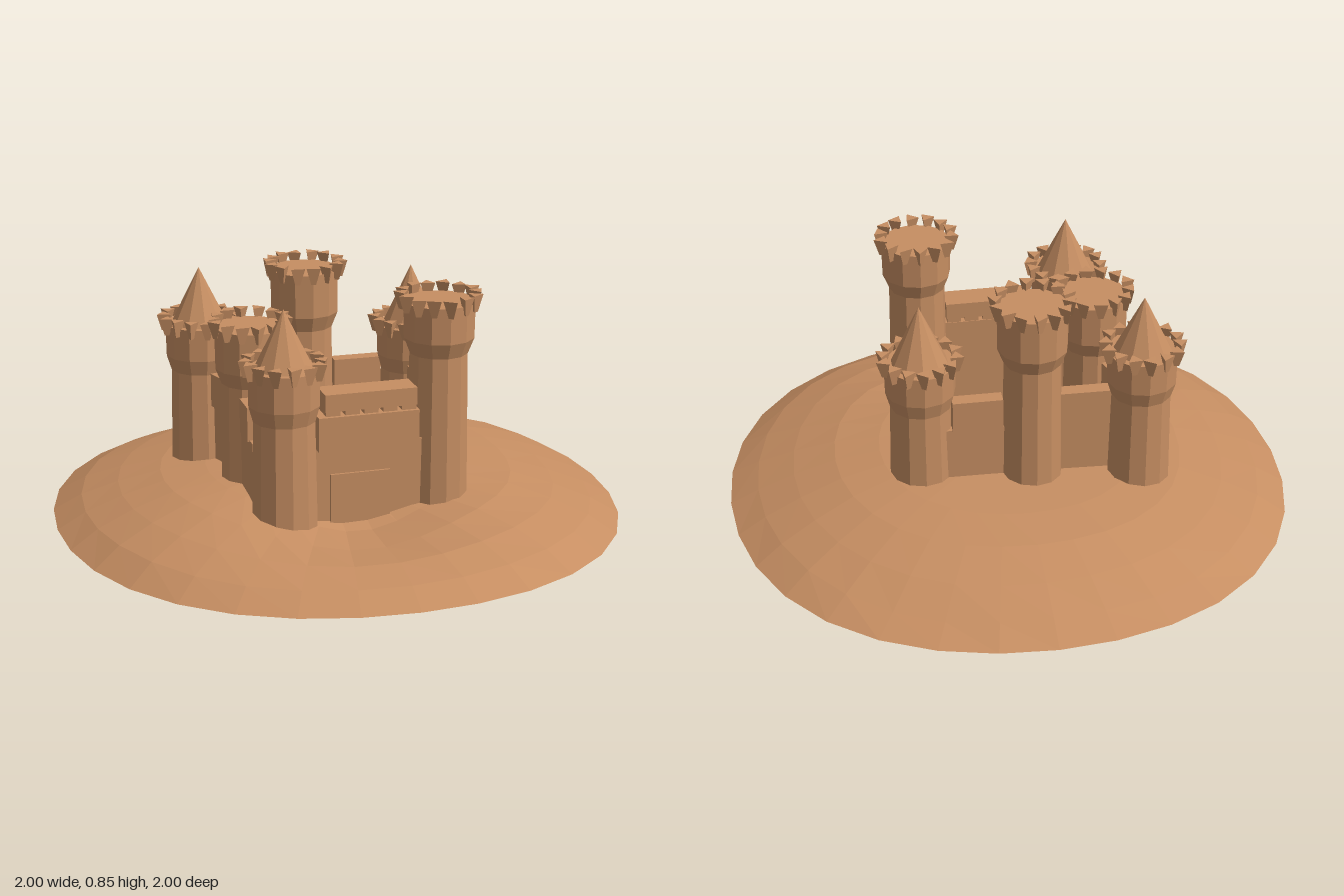
import * as THREE from 'three';

const sand = new THREE.MeshStandardMaterial({ color: 0xc68e62, flatShading: true, side: THREE.DoubleSide });
sand.name = 'sand';

let seed = 7;
function rand() {
  seed = (seed * 16807) % 2147483647;
  return seed / 2147483647 - 0.5;
}

function add(parent, name, geometry, x = 0, y = 0, z = 0) {
  const mesh = new THREE.Mesh(geometry, sand);
  mesh.name = name;
  mesh.position.set(x, y, z);
  parent.add(mesh);
  return mesh;
}

// Open mound: a lathe shell, slightly square in plan, with a hollow at the gate and a gentler back
function makeMound() {
  const profile = [[1, 0], [0.9, 0.056], [0.77, 0.104], [0.62, 0.144], [0.46, 0.161], [0.22, 0.161], [0, 0.158]];
  const g = new THREE.LatheGeometry(profile.map(([r, y]) => new THREE.Vector2(r, y)), 32);
  const p = g.attributes.position;
  for (let i = 0; i < p.count; i++) {
    const x = p.getX(i), z = p.getZ(i), y = p.getY(i);
    const bulge = 1 + 0.028 * Math.sin(2 * Math.atan2(z, x)) ** 2;
    p.setX(i, x * bulge);
    p.setZ(i, z * bulge);
    if (y < 0.01) continue;
    const hollow = 0.09 * Math.exp(-(((x + 0.05) / 0.28) ** 2) - ((z - 0.5) / 0.24) ** 2);
    const back = 0.014 * Math.exp(-(((z + 0.85) / 0.15) ** 2));
    const ripple = 0.004 * Math.sin(5 * x - 2 * z) + 0.004 * Math.cos(6 * z + 3 * x);
    p.setY(i, y - hollow - back + ripple);
  }
  g.computeVertexNormals();
  return g;
}

// Round tower: tapered shaft, flared head, ring of wedge teeth, optional cone roof
function makeTower({ name, x, z, r, neck, top, tip }) {
  const tower = new THREE.Group();
  tower.name = name;
  tower.position.set(x, 0, z);
  const profile = [[0, 0.04], [r, 0.04], [r * 0.93, neck], [0.122, neck + 0.055], [0.124, top], [0, top]];
  add(tower, 'towerBody', new THREE.LatheGeometry(profile.map(([a, b]) => new THREE.Vector2(a, b)), 12));
  const teeth = new THREE.Group();
  teeth.name = 'battlements';
  tower.add(teeth);
  const count = 14;
  for (let i = 0; i < count; i++) {
    const a = (i / count) * Math.PI * 2;
    const tooth = add(teeth, 'tooth', new THREE.CylinderGeometry(0.029, 0.01, 0.06, 3),
      Math.sin(a) * 0.127, top + rand() * 0.004, Math.cos(a) * 0.127);
    tooth.rotation.y = a + rand() * 2;
  }
  if (tip) add(tower, 'coneRoof', new THREE.ConeGeometry(0.1, tip - top, 10), 0, (tip + top) / 2, 0);
  return tower;
}

// Straight wall between two ground points with a thicker parapet
function makeWall(name, [ax, az], [bx, bz], thick = 0.03, parapetThick = 0.052) {
  const wall = new THREE.Group();
  wall.name = name;
  const dx = bx - ax, dz = bz - az, length = Math.hypot(dx, dz);
  wall.position.set((ax + bx) / 2, 0, (az + bz) / 2);
  wall.rotation.y = Math.atan2(-dz, dx);
  add(wall, 'wallBody', new THREE.BoxGeometry(length - 0.12, 0.28, thick), 0, 0.22, 0);
  add(wall, 'parapet', new THREE.BoxGeometry(length - 0.2, 0.12, parapetThick), 0, 0.415, 0);
  return wall;
}

export function createModel() {
  const model = new THREE.Group();
  model.name = 'sandCastle';
  add(model, 'mound', makeMound());

  const towers = [
    { name: 'backRightTower', x: -0.43, z: -0.24, r: 0.113, neck: 0.47, top: 0.64, tip: 0.84 },
    { name: 'backMiddleTower', x: -0.055, z: -0.2, r: 0.108, neck: 0.61, top: 0.82 },
    { name: 'backLeftTower', x: 0.325, z: -0.14, r: 0.115, neck: 0.44, top: 0.605, tip: 0.82 },
    { name: 'rightMiddleTower', x: -0.32, z: 0.06, r: 0.108, neck: 0.5, top: 0.7 },
    { name: 'frontRightTower', x: -0.28, z: 0.37, r: 0.115, neck: 0.46, top: 0.64, tip: 0.84 },
    { name: 'frontLeftTower', x: 0.27, z: 0.335, r: 0.108, neck: 0.64, top: 0.82 },
  ];
  towers.forEach((t) => model.add(makeTower(t)));

  // Curtain walls around the courtyard
  model.add(makeWall('backWallRight', [-0.43, -0.205], [-0.05, -0.195]));
  model.add(makeWall('backWallLeft', [-0.05, -0.2], [0.325, -0.195]));
  model.add(makeWall('leftWall', [0.31, -0.14], [0.305, 0.34]));
  model.add(makeWall('rightWallBack', [-0.42, -0.24], [-0.33, 0.06]));
  model.add(makeWall('rightWallFront', [-0.345, 0.06], [-0.345, 0.37], 0.06, 0.075));

  // Gatehouse: recessed wall, overhanging parapet, raised top over small gaps, and a door
  const gate = makeWall('gatehouse', [-0.28, 0.385], [0.27, 0.385], 0.03, 0.115);
  add(gate, 'gateTop', new THREE.BoxGeometry(0.32, 0.06, 0.1), 0.01, 0.52, -0.005);
  for (let i = 0; i < 5; i++) add(gate, 'gateTopSupport', new THREE.BoxGeometry(0.05, 0.02, 0.1), -0.122 + i * 0.066, 0.482, -0.005);
  add(gate, 'door', new THREE.BoxGeometry(0.21, 0.19, 0.009), -0.02, 0.165, 0.019);
  model.add(gate);
  return model;
}
